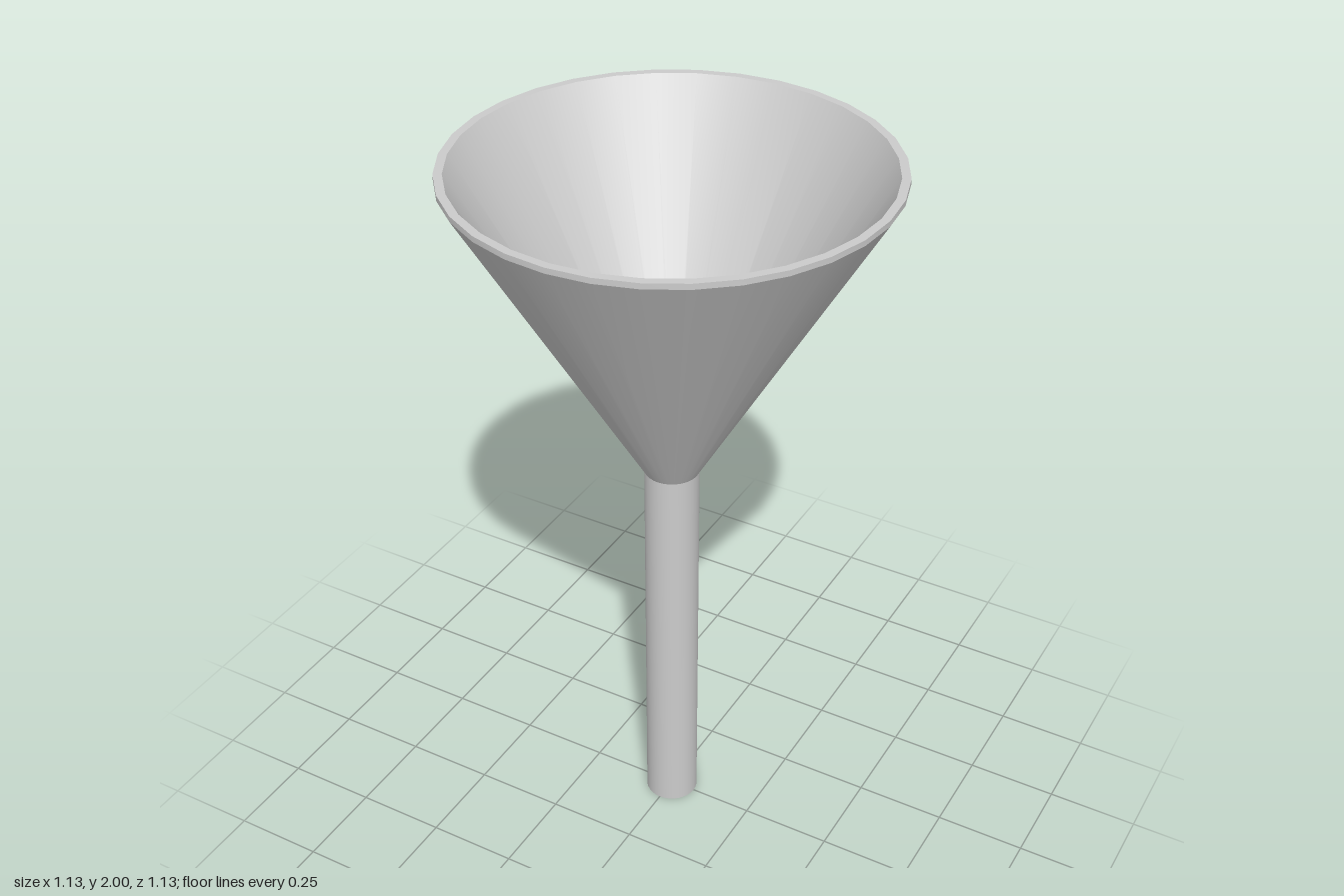
import * as THREE from 'three';
import { toCreasedNormals } from 'three/addons/utils/BufferGeometryUtils.js';

const SIDES = 32;
const material = new THREE.MeshStandardMaterial({ color: 0xcccccc });

// Turns a [radius, height] profile around the y axis, keeping its corners sharp
function turned(name, profile) {
  const points = profile.map(([r, y]) => new THREE.Vector2(r, y));
  const geometry = toCreasedNormals(new THREE.LatheGeometry(points, SIDES), 0.4);
  const mesh = new THREE.Mesh(geometry, material);
  mesh.name = name;
  return mesh;
}

export function createModel() {
  const funnel = new THREE.Group();
  funnel.name = 'funnel';

  // Outer and inner radius of the stem, and the heights where each meets the bowl
  const outer = 0.073, inner = 0.047;
  const outerNeck = 1.13, innerNeck = 1.135;

  // Conical bowl: outside wall, short vertical lip, flat rim, inside wall
  funnel.add(turned('bowl', [
    [outer, outerNeck], [0.563, 1.985], [0.563, 2], [0.541, 2], [inner, innerNeck],
  ]));

  // Hollow stem: bore, flat bottom ring, outside wall
  funnel.add(turned('stem', [
    [inner, innerNeck], [inner, 0], [outer, 0], [outer, outerNeck],
  ]));

  return funnel;
}
